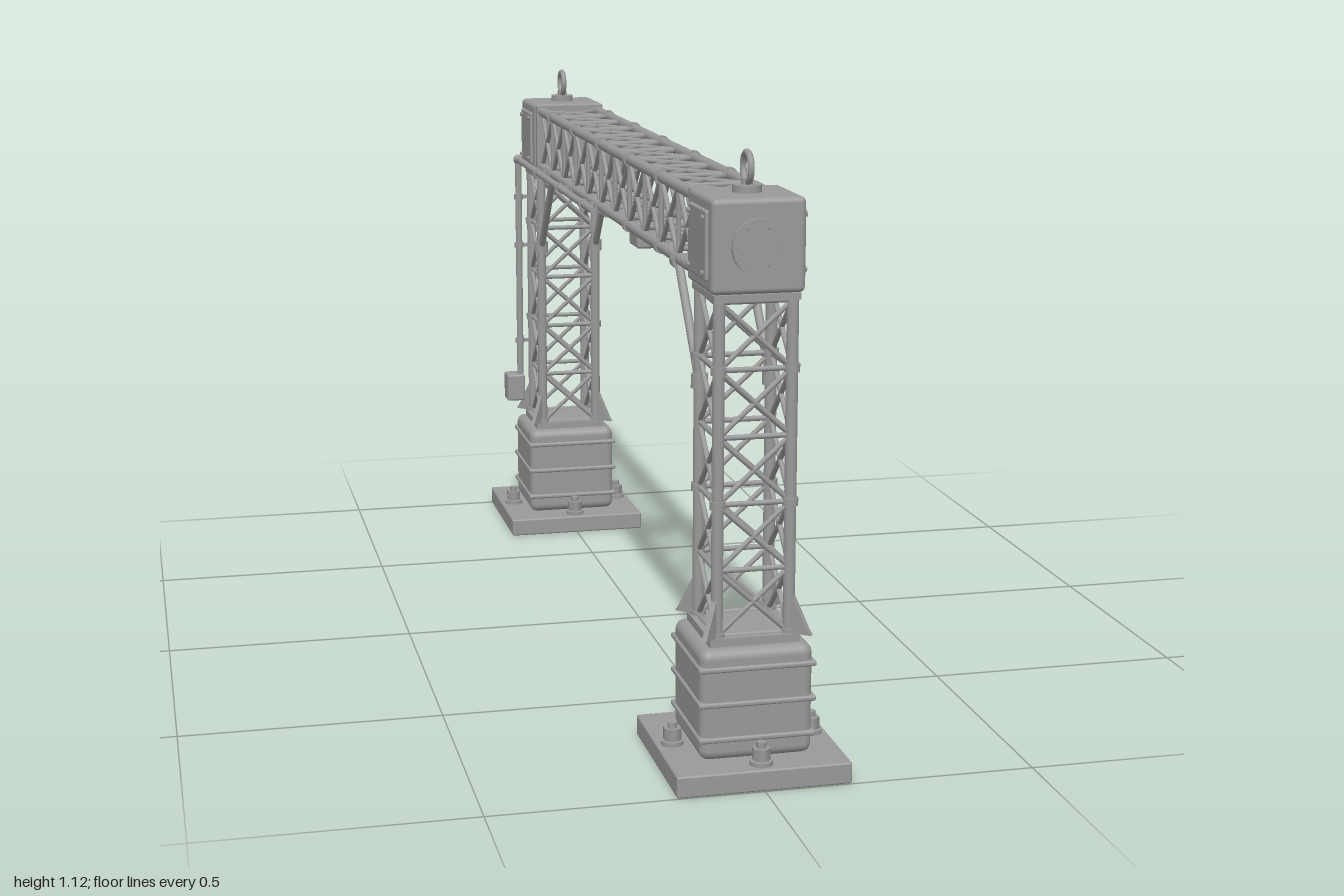
import * as THREE from 'three';
import { RoundedBoxGeometry } from 'three/addons/geometries/RoundedBoxGeometry.js';

const steel = new THREE.MeshStandardMaterial({ color: 0x999999 });
steel.name = 'grey steel';
const UP = new THREE.Vector3(0, 1, 0);

function add(parent, name, geometry, x = 0, y = 0, z = 0) {
  const m = new THREE.Mesh(geometry, steel);
  m.name = name;
  m.position.set(x, y, z);
  parent.add(m);
  return m;
}
const box = (w, h, d) => new THREE.BoxGeometry(w, h, d);
const rbox = (w, h, d, r) => new RoundedBoxGeometry(w, h, d, 3, r);
const cyl = (r, h, n = 16) => new THREE.CylinderGeometry(r, r, h, n);

// Round bar between two points
function bar(parent, name, a, b, r, n = 8) {
  const p = new THREE.Vector3(...a), q = new THREE.Vector3(...b);
  const d = q.clone().sub(p);
  const m = add(parent, name, cyl(r, d.length(), n));
  m.position.copy(p).add(q).multiplyScalar(0.5);
  m.quaternion.setFromUnitVectors(UP, d.normalize());
  return m;
}

// Square lattice truss rising along +y
const H = 0.066;
function truss(name, length, bays) {
  const g = new THREE.Group();
  g.name = name;
  const corners = [[-H, -H], [H, -H], [H, H], [-H, H]];
  const step = length / bays;
  corners.forEach(([x, z], c) => {
    const [u, w] = corners[(c + 1) % 4];
    bar(g, 'chord', [x, 0, z], [x, length, z], 0.011, 12);
    for (let i = 0; i <= bays; i++) {
      const y = i * step;
      bar(g, 'strut', [x, y, z], [u, y, w], 0.005);
      if (i % 2 === 0) add(g, 'collar', cyl(0.0145, 0.015, 12), x, y, z);
      if (i === bays) continue;
      bar(g, 'diagonal', [x, y, z], [u, y + step, w], 0.005);
      bar(g, 'diagonal', [u, y, w], [x, y + step, z], 0.005);
    }
  });
  return g;
}

// Foot plate, anchor bolts and banded pedestal
function addFoot(g) {
  add(g, 'basePlate', rbox(0.32, 0.04, 0.32, 0.004), 0, 0.02, 0);
  for (const [x, z] of [[0.13, 0], [-0.13, 0], [0, 0.13], [0, -0.13]]) {
    add(g, 'washer', cyl(0.021, 0.008), x, 0.044, z);
    add(g, 'anchorNut', cyl(0.017, 0.022, 6), x, 0.06, z);
    add(g, 'anchorStud', cyl(0.009, 0.02, 10), x, 0.072, z);
  }
  add(g, 'pedestal', rbox(0.206, 0.205, 0.206, 0.018), 0, 0.1425, 0);
  for (const y of [0.08, 0.145, 0.21]) add(g, 'pedestalBand', rbox(0.215, 0.01, 0.215, 0.004), 0, y, 0);
  add(g, 'pedestalCap', box(0.165, 0.016, 0.165), 0, 0.252, 0);

  // Corner fins standing out diagonally from the chords
  const fin = new THREE.Shape([[0, 0], [0.05, 0], [0.042, 0.012], [0.012, 0.07], [0, 0.07]]
    .map(p => new THREE.Vector2(...p)));
  const finGeo = new THREE.ExtrudeGeometry(fin, { depth: 0.01, bevelEnabled: false });
  finGeo.translate(0, 0, -0.005);
  for (let i = 0; i < 4; i++) {
    const a = Math.PI / 4 + i * Math.PI / 2;
    add(g, 'cornerFin', finGeo, Math.cos(a) * 0.09, 0.26, Math.sin(a) * 0.09).rotation.y = -a;
  }
}

// Head block with covers and lifting eye; +z is the outer end
function addHead(g) {
  const cy = 0.957;
  add(g, 'towerFlange', box(0.155, 0.012, 0.155), 0, 0.867, 0);
  add(g, 'headBlock', rbox(0.168, 0.166, 0.168, 0.01), 0, cy, 0);
  add(g, 'endCover', cyl(0.05, 0.012, 32), 0, cy, 0.086).rotation.x = Math.PI / 2;
  for (let i = 0; i < 6; i++) {
    const a = i * Math.PI / 3;
    add(g, 'coverBolt', cyl(0.005, 0.006, 6), Math.cos(a) * 0.037, cy + Math.sin(a) * 0.037, 0.094)
      .rotation.x = Math.PI / 2;
  }
  for (const s of [-1, 1]) {
    add(g, 'sidePanel', rbox(0.01, 0.122, 0.122, 0.004), s * 0.085, cy, 0);
    for (const u of [-1, 1]) for (const v of [-1, 1])
      add(g, 'panelBolt', cyl(0.005, 0.006, 6), s * 0.092, cy + u * 0.048, v * 0.048).rotation.z = Math.PI / 2;
  }
  add(g, 'beamFlange', box(0.16, 0.16, 0.014), 0, cy, -0.09);
  add(g, 'eyeBase', cyl(0.026, 0.015, 20), 0, 1.046, 0);
  add(g, 'eyeNeck', cyl(0.011, 0.014, 12), 0, 1.057, 0);
  add(g, 'liftingEye', new THREE.TorusGeometry(0.026, 0.006, 10, 28), 0, 1.083, 0).rotation.y = Math.PI / 2;
}

function makeTower(name) {
  const g = new THREE.Group();
  g.name = name;
  addFoot(g);
  const lattice = truss('towerLattice', 0.6, 5);
  lattice.position.y = 0.26;
  g.add(lattice);
  addHead(g);
  // Knee braces between tower and beam
  for (const s of [-1, 1]) {
    const x = s * H, low = [x, 0.695, -0.07], high = [x, 0.885, -0.225];
    bar(g, 'kneeBrace', low, high, 0.008, 10);
    add(g, 'braceClamp', cyl(0.016, 0.026, 12), x, 0.695, -H);
    add(g, 'braceClamp', cyl(0.015, 0.026, 12), ...high).rotation.x = Math.PI / 2;
  }
  return g;
}

// Sensor slung under the middle of the beam, looking to +x
function makeSensor() {
  const g = new THREE.Group();
  g.name = 'sensor';
  add(g, 'sensorHousing', rbox(0.1, 0.062, 0.076, 0.006), 0.037, 0.845, 0);
  add(g, 'sensorMount', box(0.05, 0.02, 0.04), 0.04, 0.88, 0);
  add(g, 'mountBar', box(0.15, 0.012, 0.03), 0, 0.885, 0);
  add(g, 'sensorBarrel', cyl(0.022, 0.06, 20), 0.113, 0.843, 0).rotation.z = Math.PI / 2;
  // Hollow hood at the tip
  const hood = [[0, 0], [0.032, 0], [0.032, 0.022], [0.025, 0.022], [0.022, 0.008], [0, 0.008]]
    .map(p => new THREE.Vector2(...p));
  const m = add(g, 'sensorHood', new THREE.LatheGeometry(hood, 24), 0.138, 0.843, 0);
  m.rotation.z = -Math.PI / 2;
  return g;
}

// Conduit from the rear tower's control box up and along the beam
function makeConduit() {
  const g = new THREE.Group();
  g.name = 'conduit';
  const x = -0.098, z = -0.905, y = 0.892;
  add(g, 'controlBox', rbox(0.044, 0.066, 0.052, 0.005), -0.112, 0.323, z - 0.005);
  bar(g, 'conduitRiser', [x, 0.35, z], [x, y, z], 0.008, 12);
  add(g, 'conduitElbow', new THREE.SphereGeometry(0.012, 14, 10), x, y, z);
  bar(g, 'conduitRun', [x, y, z], [x, y, 0], 0.008, 12);
  for (const cy of [0.44, 0.68, 0.8]) {
    add(g, 'conduitClip', cyl(0.0115, 0.012, 12), x, cy, z);
    add(g, 'clipArm', box(0.03, 0.008, 0.008), x + 0.018, cy, z);
  }
  for (const cz of [-0.64, -0.37, -0.1]) {
    add(g, 'conduitClip', cyl(0.0115, 0.012, 12), x, y, cz).rotation.x = Math.PI / 2;
    add(g, 'clipArm', box(0.03, 0.008, 0.008), x + 0.018, y, cz);
  }
  return g;
}

export function createModel() {
  const model = new THREE.Group();
  model.name = 'gantry';
  const front = makeTower('frontTower');
  front.position.z = 0.84;
  const rear = makeTower('rearTower');
  rear.position.z = -0.84;
  rear.rotation.y = Math.PI;
  const beam = truss('beamLattice', 1.5, 11);
  beam.rotation.x = -Math.PI / 2;
  beam.position.set(0, 0.957, 0.75);
  model.add(front, rear, beam, makeSensor(), makeConduit());
  return model;
}
